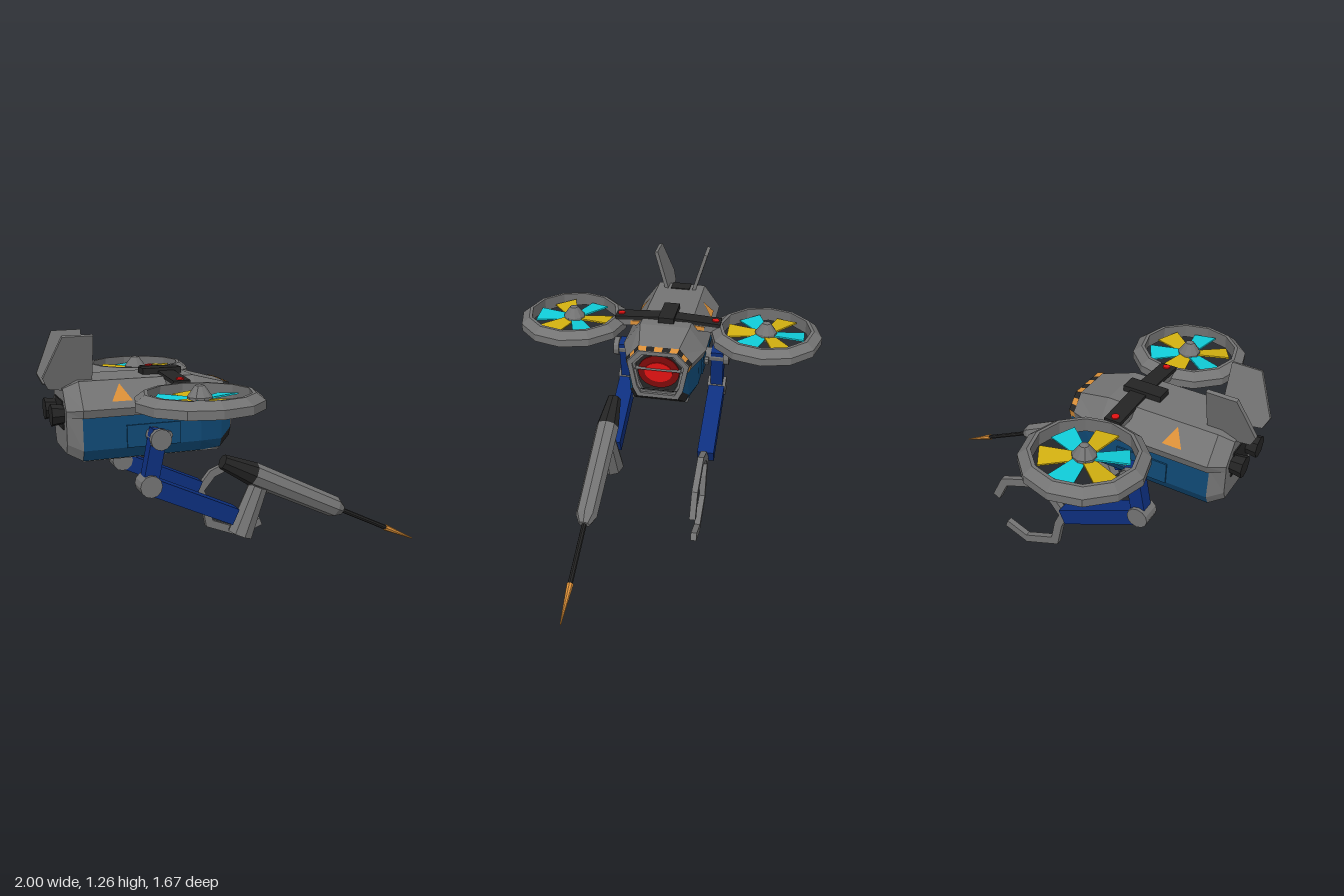
import * as THREE from 'three';

const mat = (name, color) => {
  const m = new THREE.MeshStandardMaterial({ color, flatShading: true, side: THREE.DoubleSide });
  m.name = name;
  return m;
};

export function createModel() {
  const root = new THREE.Group();
  root.name = 'flyingWorkDrone';
  const gray = mat('gray metal', 0x747474), blue = mat('hull blue', 0x104a76), armBlue = mat('arm blue', 0x0d2f7e);
  const black = mat('black', 0x242424), red = mat('lens red', 0xe01212), darkRed = mat('dark red', 0x7c0a0a);
  const orange = mat('orange', 0xdc9038), cyan = mat('cyan', 0x10ccd8), yellow = mat('yellow', 0xd2b010);

  const add = (name, geo, material, x = 0, y = 0, z = 0, parent = root) => {
    const m = new THREE.Mesh(geo, material);
    m.name = name;
    m.position.set(x, y, z);
    parent.add(m);
    return m;
  };
  const box = (name, material, w, h, d, x, y, z) => add(name, new THREE.BoxGeometry(w, h, d), material, x, y, z);
  const facets = (tris) => {
    const g = new THREE.BufferGeometry();
    g.setAttribute('position', new THREE.Float32BufferAttribute(tris.flat(), 3));
    g.computeVertexNormals();
    return g;
  };
  // Mirrors half a section, given from bottom to top as [z, y], into a ring at x
  const ring = (x, half) => [...half.map(([z, y]) => [x, y, -z]), ...[...half].reverse().map(([z, y]) => [x, y, z])];
  const loft = (sections, capFront = true) => {
    const rings = sections.map(([x, half]) => ring(x, half)), t = [];
    const n = rings[0].length;
    for (let s = 0; s < rings.length - 1; s++) {
      const a = rings[s], b = rings[s + 1];
      for (let i = 0; i < n; i++) {
        const j = (i + 1) % n;
        t.push(a[i], a[j], b[j], a[i], b[j], b[i]);
      }
    }
    const last = rings[rings.length - 1];
    for (let i = 1; i < n - 1; i++) {
      t.push(rings[0][0], rings[0][i + 1], rings[0][i]);
      if (capFront) t.push(last[0], last[i], last[i + 1]);
    }
    return facets(t);
  };
  // Bar and round rod between two points
  const beam = (name, material, a, b, z, width, depth) => {
    const dx = b[0] - a[0], dy = b[1] - a[1];
    box(name, material, Math.hypot(dx, dy), width, depth, (a[0] + b[0]) / 2, (a[1] + b[1]) / 2, z).rotation.z = Math.atan2(dy, dx);
  };
  const rod = (name, material, a, b, z, ra, rb, sides = 8) => {
    const dx = b[0] - a[0], dy = b[1] - a[1];
    add(name, new THREE.CylinderGeometry(rb, ra, Math.hypot(dx, dy), sides), material,
      (a[0] + b[0]) / 2, (a[1] + b[1]) / 2, z).rotation.z = Math.atan2(dy, dx) - Math.PI / 2;
  };
  const pin = (name, material, r, len, x, y, z, sides = 12) => {
    add(name, new THREE.CylinderGeometry(r, r, len, sides), material, x, y, z).rotation.x = Math.PI / 2;
  };
  const shape = (pts) => new THREE.Shape(pts.map((p) => new THREE.Vector2(...p)));
  const extrude = (s, depth) => new THREE.ExtrudeGeometry(s, { depth, bevelEnabled: false }).translate(0, 0, -depth / 2);

  // Hull
  const noseTop = [[0.155, 0.88], [0.165, 0.92], [0.1, 0.99]];
  const midTop = [[0.215, 0.88], [0.228, 0.92], [0.135, 1.045]];
  add('upperHull', loft([[-0.91, [[0.165, 0.88], [0.17, 0.91], [0.1, 1.01]]], [-0.84, midTop], [-0.27, midTop], [-0.07, noseTop]], false), gray);
  const lower = [[0.165, 0.665], [0.195, 0.72], [0.195, 0.88]];
  add('lowerHull', loft([[-0.84, lower], [-0.25, lower], [-0.13, [[0.14, 0.668], [0.163, 0.715], [0.17, 0.88]]]], false), blue);
  add('lowerNose', loft([[-0.13, [[0.163, 0.715], [0.17, 0.88]]], [-0.07, [[0.135, 0.765], [0.155, 0.88]]]], false), blue);
  add('chin', loft([[-0.13, [[0.14, 0.668], [0.163, 0.715]]], [-0.07, [[0.11, 0.715], [0.135, 0.765]]]], false), black);
  add('rearHull', loft([[-0.91, [[0.13, 0.7], [0.155, 0.75], [0.165, 0.88]]], [-0.84, lower]]), gray);
  box('belly', gray, 0.7, 0.008, 0.31, -0.49, 0.663, 0);
  box('roofBlock', black, 0.2, 0.04, 0.086, -0.4, 1.055, 0);
  box('rearRoofPlate', black, 0.08, 0.008, 0.11, -0.8, 1.046, 0);
  box('rearPlate', black, 0.008, 0.14, 0.2, -0.912, 0.88, 0);

  // Nose frame and lens, drawn with shape x = -z
  const outline = [[0.11, 0.715], [0.135, 0.765], [0.165, 0.92], [0.1, 0.99]];
  const loop = (k) => {
    const half = outline.map(([z, y]) => [z * k, 0.855 + (y - 0.855) * k]);
    return [...half, ...[...half].reverse().map(([z, y]) => [-z, y])];
  };
  const frame = (name, out, inner, depth, x, m) => {
    const s = shape(loop(out));
    if (inner) s.holes.push(new THREE.Path(loop(inner).map((p) => new THREE.Vector2(...p))));
    add(name, extrude(s, depth), m, x).rotation.y = Math.PI / 2;
  };
  frame('noseFrame', 1, 0.84, 0.03, -0.083, gray);
  frame('innerNoseFrame', 0.86, 0.76, 0.02, -0.092, gray);
  frame('noseBackplate', 0.9, 0, 0.008, -0.108, black);
  const disc = (name, m, rz, ry, x) => {
    const d = add(name, new THREE.CylinderGeometry(1, 1, 0.008, 20).rotateZ(-Math.PI / 2), m, x, 0.858, 0);
    d.scale.set(1, ry, rz);
  };
  disc('lensRim', darkRed, 0.112, 0.095, -0.1);
  disc('lens', red, 0.075, 0.057, -0.094);

  // Hazard stripes round the upper nose edge
  const mixTop = noseTop.map(([z, y], i) => [z + (midTop[i][0] - z) * 0.16, y + (midTop[i][1] - y) * 0.16]);
  const grow = (half) => half.map(([z, y]) => [z + 0.004, y + 0.004]);
  const back = ring(-0.102, grow(mixTop)), front = ring(-0.068, grow(noseTop));
  const stripeTris = [[], []];
  const lerp = (p, q, t) => p.map((v, i) => v + (q[i] - v) * t);
  let stripe = 0;
  [1, 3, 5, 3, 1].forEach((n, i) => {
    for (let k = 0; k < n; k++) {
      const [a, b] = [k / n, (k + 1) / n].map((t) => lerp(back[i], back[i + 1], t));
      const [c, d] = [k / n, (k + 1) / n].map((t) => lerp(front[i], front[i + 1], t));
      stripeTris[stripe++ % 2].push(a, b, d, a, d, c);
    }
  });
  add('orangeStripes', facets(stripeTris[0]), orange);
  add('blackStripes', facets(stripeTris[1]), black);

  for (const s of [1, -1]) {
    // Roof markers, tail fins and thrusters
    add('roofMarker', facets([[-0.7, 0.952, s * 0.21], [-0.6, 0.952, s * 0.21], [-0.65, 1.028, s * 0.153]]), orange);
    const fin = shape([[-0.765, 0], [-0.765, 0.272], [-0.91, 0.27], [-1, 0.065], [-0.975, 0.01], [-0.9, 0]]);
    add('tailFin', extrude(fin, 0.02), gray, 0, 1.0, s * 0.068).rotation.x = s * 0.285;
    rod('thruster', black, [-0.9, 0.885], [-0.97, 0.885], s * 0.09, 0.045, 0.055);

    // Rotor struts
    const strut = new THREE.Group();
    strut.name = 'rotorStrut';
    strut.position.set(-0.38, 1.035, s * 0.16);
    strut.rotation.x = s * 0.06;
    root.add(strut);
    add('strutTop', new THREE.BoxGeometry(0.085, 0.02, 0.26), black, 0, 0.008, 0, strut);
    add('strutUnderside', new THREE.BoxGeometry(0.075, 0.035, 0.24), gray, 0, -0.02, 0, strut);
    add('strutStripe', new THREE.BoxGeometry(0.006, 0.022, 0.07), orange, 0.038, -0.02, s * 0.01, strut);
    add('strutLight', new THREE.CylinderGeometry(0.02, 0.02, 0.008, 8), red, 0, 0.02, s * 0.1, strut);

    // Ducted rotors
    const rotor = new THREE.Group();
    rotor.name = 'rotor';
    rotor.position.set(-0.38, 0, s * 0.535);
    root.add(rotor);
    const lathe = (pts, n) => new THREE.LatheGeometry(pts.map((p) => new THREE.Vector2(...p)), n);
    add('rotorRing', lathe([[0.243, 0.96], [0.299, 0.96], [0.299, 1.0], [0.255, 1.033], [0.238, 1.033], [0.243, 0.96]], 12), gray, 0, 0, 0, rotor);
    add('rotorHub', lathe([[0, 0.975], [0.058, 0.975], [0.058, 1.01], [0.022, 1.06], [0, 1.067]], 10), gray, 0, 0, 0, rotor);
    const blade = extrude(shape([[-0.03, 0.04], [0.03, 0.04], [0.062, 0.205], [-0.062, 0.205]]), 0.008).rotateX(-Math.PI / 2).rotateZ(0.12);
    for (let i = 0; i < 6; i++) {
      add('rotorBlade', blade, i % 2 ? cyan : yellow, 0, 0.995, 0, rotor).rotation.y = i * Math.PI / 3 + (s < 0 ? Math.PI : 0);
    }

    // Shoulders and arms
    box('sidePanel', blue, 0.27, 0.11, 0.012, -0.495, 0.775, s * 0.197);
    pin('shoulder', gray, 0.04, 0.14, -0.5, 0.775, s * 0.25);
    pin('shoulderCap', gray, 0.052, 0.03, -0.5, 0.775, s * 0.32);
    pin('sideBolt', gray, 0.022, 0.03, -0.43, 0.77, s * 0.21, 8);
    beam('upperArm', armBlue, [-0.493, 0.815], [-0.55, 0.545], s * 0.268, 0.075, 0.07);
    pin('elbow', gray, 0.055, 0.105, -0.55, 0.545, s * 0.268);
    beam('forearm', armBlue, [-0.54, 0.54], [-0.11, 0.335], s * 0.268, 0.085, 0.092);
  }

  // Drill in the left hand
  const zd = 0.265;
  const axis = (x) => [x, 0.62 - (x + 0.165) * 0.491];
  rod('drillGrip', gray, [-0.07, 0.225], [0.03, 0.47], zd, 0.067, 0.052);
  rod('drillRear', black, axis(-0.165), axis(0), zd, 0.038, 0.062);
  rod('drillBody', gray, axis(0), axis(0.48), zd, 0.062, 0.057);
  rod('drillCollar', gray, axis(0.48), axis(0.525), zd, 0.057, 0.03);
  rod('drillShaft', black, axis(0.52), axis(0.82), zd, 0.013, 0.013);
  rod('drillTip', orange, axis(0.81), axis(0.995), zd, 0.018, 0.003);

  // Claw in the right hand: each finger is a mitred bent bar
  const finger = (name, pts, width) => {
    const p = pts.map((q) => new THREE.Vector2(...q));
    const offs = p.map((q, i) => {
      const d0 = q.clone().sub(p[Math.max(i - 1, 0)]).normalize();
      const d1 = p[Math.min(i + 1, p.length - 1)].clone().sub(q).normalize();
      const d = d0.clone().add(d1).normalize();
      const k = width / 2 / d.dot(i ? d0 : d1);
      return new THREE.Vector2(-d.y * k, d.x * k);
    });
    const left = p.map((q, i) => q.clone().add(offs[i])), right = p.map((q, i) => q.clone().sub(offs[i]));
    add(name, extrude(new THREE.Shape([...left, ...right.reverse()]), 0.032), gray, 0, 0, -0.268);
  };
  finger('lowerClawFinger', [[-0.1, 0.32], [-0.065, 0.24], [-0.04, 0.108], [0.15, 0.03], [0.285, 0.08]], 0.045);
  finger('upperClawFinger', [[-0.1, 0.31], [-0.02, 0.405], [0.1, 0.452], [0.285, 0.38], [0.345, 0.255]], 0.045);
  return root;
}
